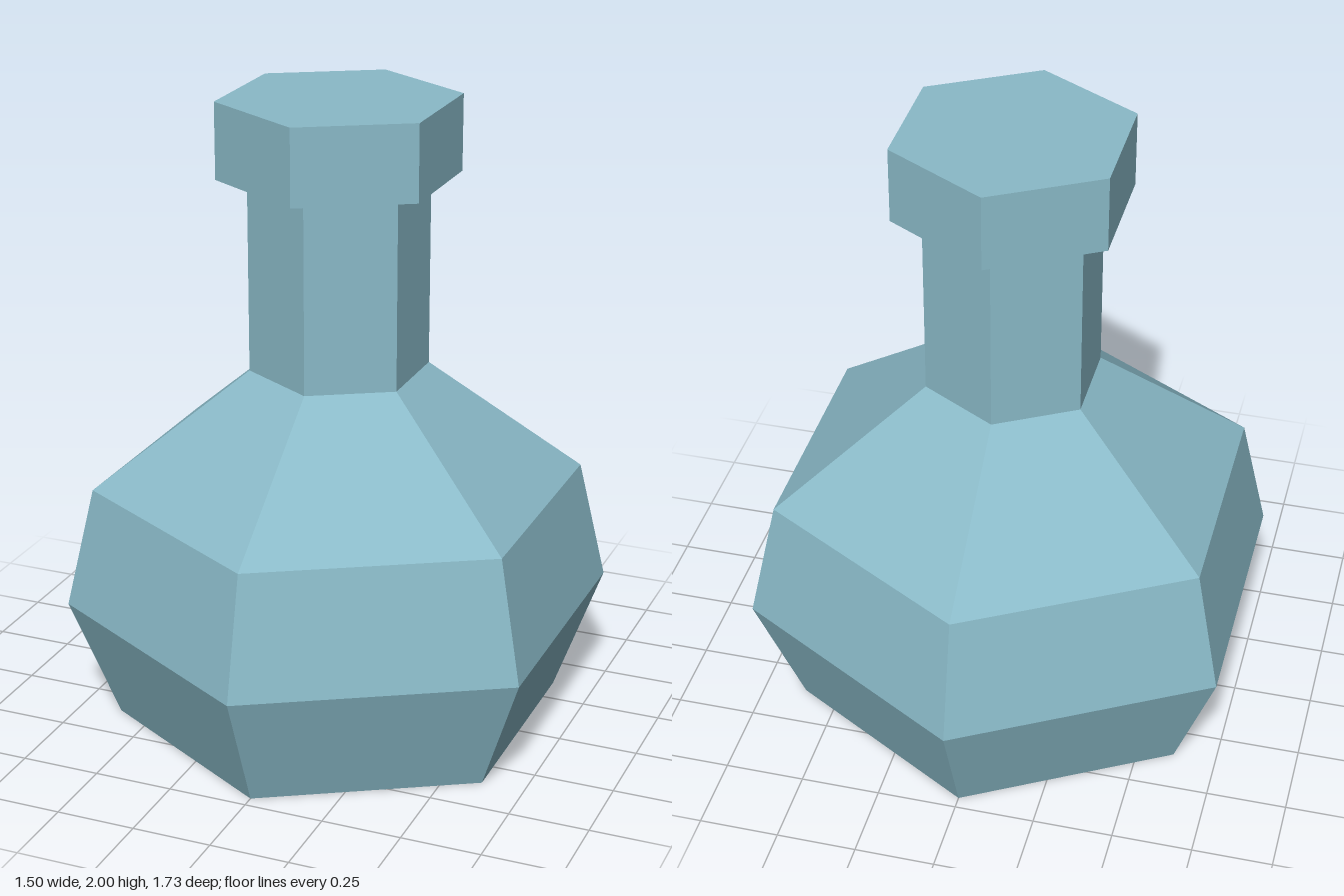
import * as THREE from 'three';

// Six-sided part turned from [radius, height] points, listed bottom to top
function hexLathe(name, points, material) {
  const profile = points.map(([r, y]) => new THREE.Vector2(r, y));
  const mesh = new THREE.Mesh(new THREE.LatheGeometry(profile, 6), material);
  mesh.name = name;
  return mesh;
}

export function createModel() {
  const group = new THREE.Group();
  group.name = 'flask';
  const glass = new THREE.MeshStandardMaterial({ color: 0x8abac8, flatShading: true });

  // Closed base, bulging belly and sloping shoulder
  group.add(hexLathe('body', [[0, 0], [0.71, 0], [0.865, 0.39], [0.775, 0.775], [0.28, 1.148]], glass));

  // Straight neck
  group.add(hexLathe('neck', [[0.28, 1.148], [0.28, 1.76]], glass));

  // Overhanging rim with a flat closed top
  group.add(hexLathe('rim', [[0.28, 1.76], [0.375, 1.76], [0.375, 2], [0, 2]], glass));

  return group;
}
